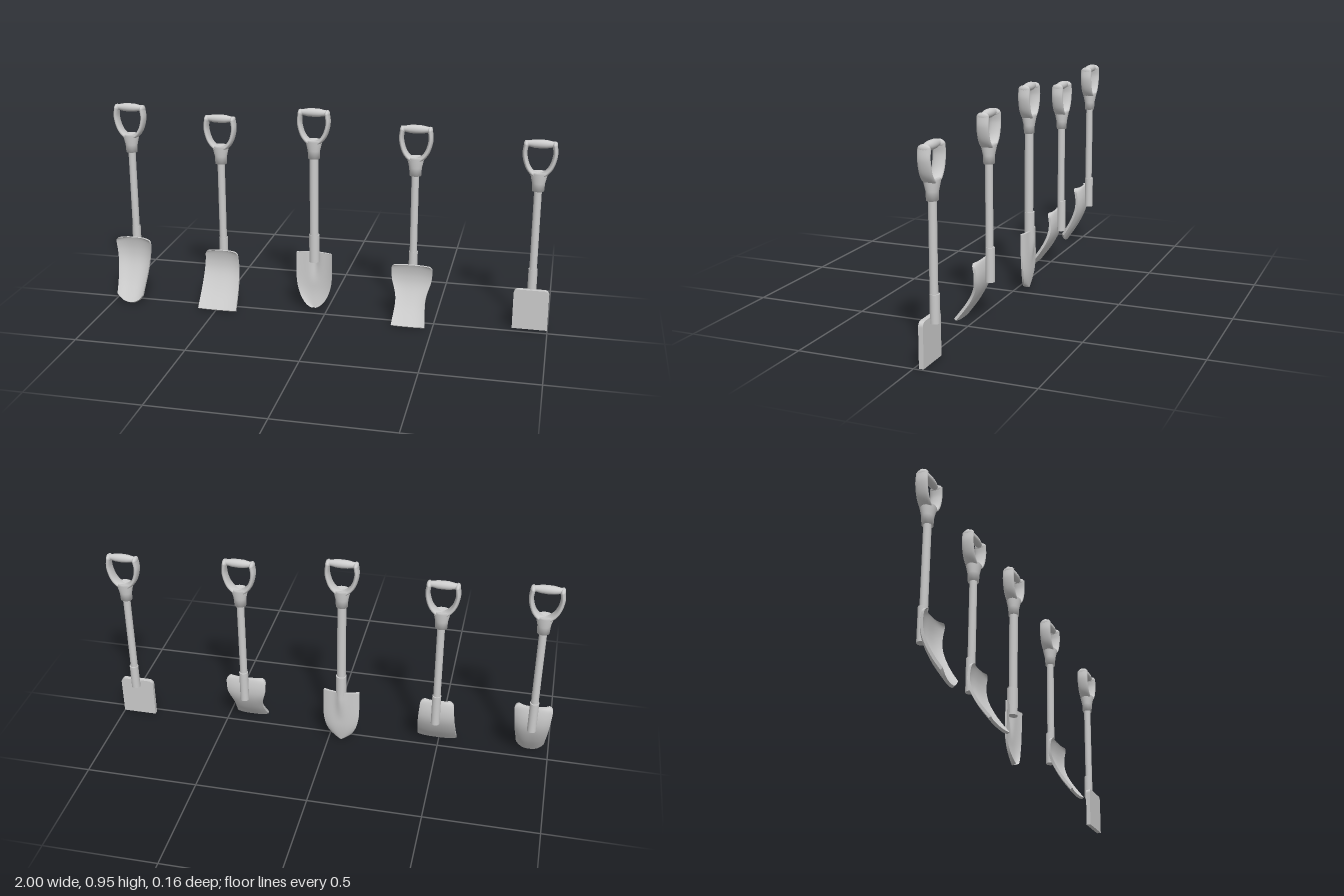
import * as THREE from 'three';

const mat = new THREE.MeshStandardMaterial({ color: 0xcccccc });
const Z = -0.053; // depth of every shaft

function mesh(name, geometry) {
  const m = new THREE.Mesh(geometry, mat);
  m.name = name;
  return m;
}

const lathe = (pts) => new THREE.LatheGeometry(pts.map(([r, y]) => new THREE.Vector2(r, y)), 24);

// Rises from 0 to 1 along a quarter circle
const quarter = (k) => Math.sqrt(1 - (1 - THREE.MathUtils.clamp(k, 0, 1)) ** 2);

// Side profile [z, y] of the three scoops: upright at the top, swept forward below
const scoopSpine = [[0.067, 0.005], [0.012, 0.08], [-0.024, 0.15], [-0.036, 0.21], [-0.036, 0.266]];

// Thin box bent along a side profile. widths are half widths from bottom to top,
// corner rounds the top corners, tip the lower end and arc the lower edge,
// lip raises the sides, topLip the top, groove presses a channel below the socket.
function makeBlade({ spine = scoopSpine, stretch = 1, widths, corner = 0.02, tip = 0,
  arc = 0, lip = 0.008, topLip = 0.012, groove = 0, thick = 0.012 }) {
  const curve = new THREE.SplineCurve(spine.map(([z, y]) => new THREE.Vector2(z, y * stretch)));
  const sides = new THREE.SplineCurve(widths.map((w, i) => new THREE.Vector2(w, i)));
  const bottom = curve.getPoint(0).y, top = curve.getPoint(1).y;
  const geo = new THREE.BoxGeometry(2, 1, 1, 28, 40, 1);
  const pos = geo.attributes.position;
  for (let i = 0; i < pos.count; i++) {
    const u = pos.getX(i), s = pos.getZ(i);
    const row = (1 + Math.sin(Math.PI * pos.getY(i))) / 2; // finer rows at both ends
    const t = row + (1 - row) * arc * u * u;
    const p = curve.getPoint(t), d = curve.getTangent(t);
    let half = sides.getPoint(t).x - corner * (1 - quarter((top - p.y) / corner));
    if (tip) half *= Math.max(0.06, quarter((p.y - bottom) / tip));
    const x = half * u;
    const off = lip * Math.abs(u) ** 3 + topLip * Math.max(0, t - 0.6) ** 2 / 0.16
      - groove * Math.exp(-((x / 0.02) ** 2)) * THREE.MathUtils.smoothstep(p.y, 0.12, 0.25)
      + thick * s;
    pos.setXYZ(i, x, p.y - d.x * off, p.x + d.y * off);
  }
  geo.computeVertexNormals();
  return mesh('blade', geo);
}

// Open grip with its top at y = 0
function makeHandle() {
  const g = new THREE.Group();
  g.name = 'handle';

  // bulged crossbar, mirrored about its middle
  const barHalf = [[0, 0.07], [0.012, 0.067], [0.013, 0.05], [0.018, 0.025]];
  const bar = mesh('gripBar', lathe([
    ...barHalf.map(([r, y]) => [r, -y]), [0.019, 0], ...barHalf.slice().reverse(),
  ]));
  bar.rotation.z = Math.PI / 2;
  bar.position.y = -0.019;
  g.add(bar);

  // flattened loop
  const half = [[0.06, -0.02], [0.064, -0.065], [0.049, -0.12], [0.026, -0.148]];
  const loop = [...half, [0, -0.158], ...half.map(([x, y]) => [-x, y]).reverse()];
  const path = new THREE.CatmullRomCurve3(loop.map(([x, y]) => new THREE.Vector3(x, y, 0)));
  const arms = mesh('gripArms', new THREE.TubeGeometry(path, 56, 0.0105, 14));
  arms.scale.z = 2.6;
  g.add(arms);

  // rounded ends of the arms around the crossbar
  for (const side of [-1, 1]) {
    const end = mesh('armEnd', new THREE.SphereGeometry(1, 18, 12));
    end.scale.set(0.0115, 0.017, 0.026);
    end.position.set(side * 0.06, -0.023, 0);
    g.add(end);
  }

  const collar = mesh('gripCollar', lathe([
    [0, -0.226], [0.026, -0.226], [0.028, -0.19], [0.038, -0.147], [0.032, -0.141], [0, -0.15],
  ]));
  collar.scale.z = 0.88;
  g.add(collar);
  return g;
}

// Handle, shaft, socket and blade of one tool
function makeTool({ name, x, top, socketTop, socketLength = 0.15, radius = 0.0165, blade }) {
  const g = new THREE.Group();
  g.name = name;
  const handle = makeHandle();
  handle.position.set(0, top, Z);

  const low = socketTop - 0.05, high = top - 0.2;
  const shaft = mesh('shaft', new THREE.CylinderGeometry(radius, radius, high - low, 24));
  shaft.position.set(0, (high + low) / 2, Z);

  const r = radius * 1.2;
  const socket = mesh('socket', new THREE.CylinderGeometry(r, r, socketLength, 24));
  socket.position.set(0, socketTop - socketLength / 2, Z - 0.003);

  g.add(handle, shaft, socket, makeBlade(blade));
  g.position.x = x;
  return g;
}

export function createModel() {
  const model = new THREE.Group();
  model.name = 'shovelSet';
  model.add(
    makeTool({ // scoop narrowing to a rounded lower edge
      name: 'taperedShovel', x: -0.915, top: 0.93, socketTop: 0.345,
      blade: { stretch: 1.12, widths: [0.061, 0.075, 0.085], arc: 0.1, lip: 0.018 },
    }),
    makeTool({ // scoop widening to a straight edge
      name: 'flaredShovel', x: -0.49, top: 0.9, socketTop: 0.32,
      blade: { widths: [0.09, 0.083, 0.075] },
    }),
    makeTool({ // pointed digging blade with a pressed channel
      name: 'pointedShovel', x: -0.06, top: 0.95, socketTop: 0.365, socketLength: 0.13, radius: 0.0195,
      blade: {
        spine: [[-0.052, 0.01], [-0.064, 0.1], [-0.061, 0.279]], widths: [0.082, 0.082],
        corner: 0.004, tip: 0.16, lip: 0.013, topLip: 0, groove: 0.014, thick: 0.009,
      },
    }),
    makeTool({ // scoop with a narrow waist
      name: 'waistedShovel', x: 0.393, top: 0.9, socketTop: 0.32,
      blade: { widths: [0.075, 0.067, 0.088, 0.092] },
    }),
    makeTool({ // flat square blade
      name: 'squareSpade', x: 0.922, top: 0.865, socketTop: 0.28, socketLength: 0.115,
      blade: {
        spine: [[-0.033, 0.005], [-0.033, 0.19]], widths: [0.077, 0.077],
        lip: 0, topLip: 0, thick: 0.02,
      },
    }),
  );
  return model;
}
